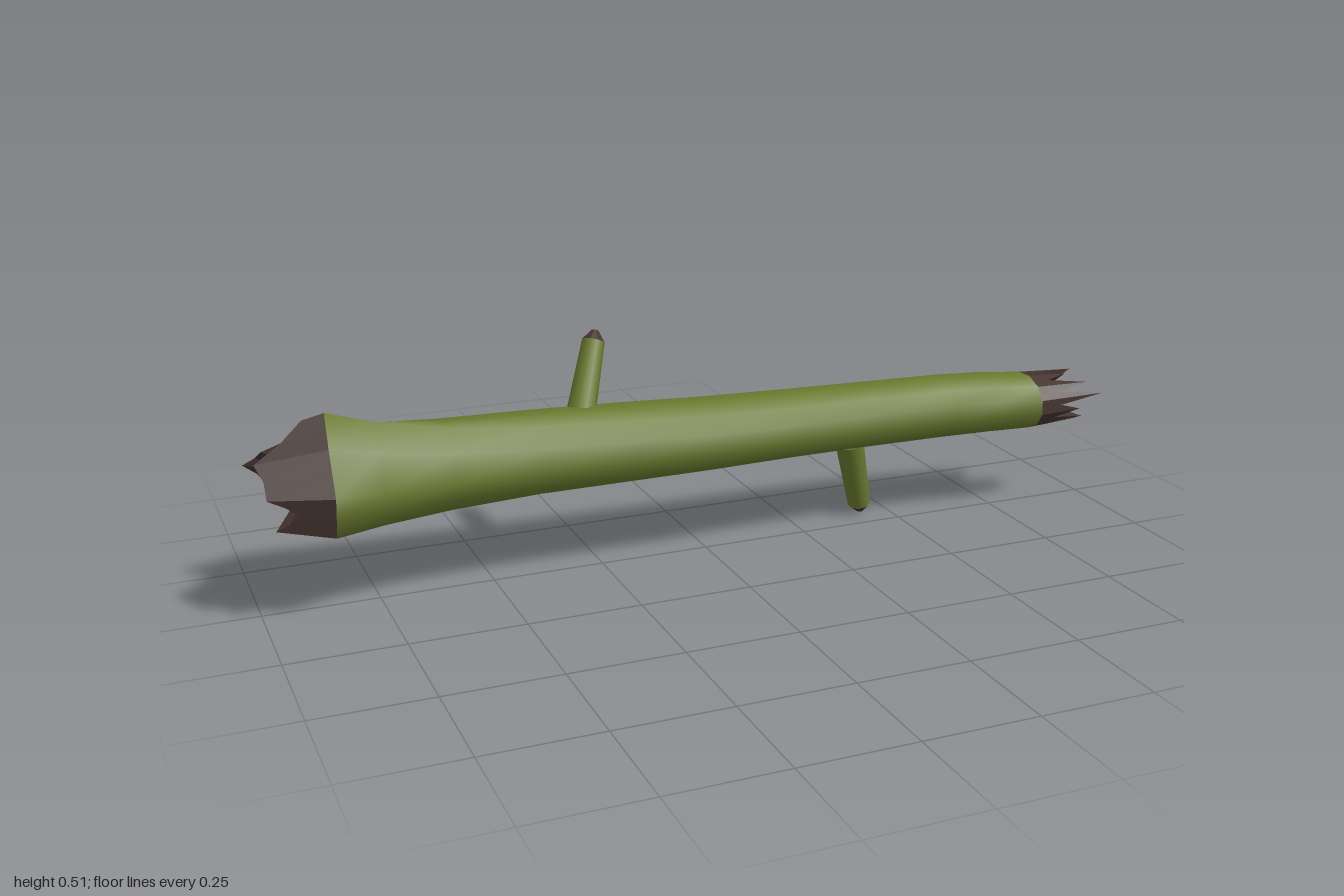
import * as THREE from 'three';

const SIDES = 12;

// Skin a list of closed rings that run towards +x.
function loft(rings) {
  const n = rings[0].length;
  const index = [];
  for (let i = 0; i < rings.length - 1; i++) {
    for (let j = 0; j < n; j++) {
      const k = (j + 1) % n;
      const a = i * n + j, b = a + n, c = (i + 1) * n + k, d = i * n + k;
      index.push(a, b, c, a, c, d);
    }
  }
  const geometry = new THREE.BufferGeometry().setFromPoints(rings.flat());
  geometry.setIndex(index);
  geometry.computeVertexNormals();
  return geometry;
}

// Angular outline of the thick end as [z, y]
const buttOutline = [
  [0.15, 0.29], [0.105, 0.38], [0.08, 0.45], [0.03, 0.415], [-0.03, 0.385], [-0.085, 0.345],
  [-0.15, 0.297], [-0.115, 0.245], [-0.055, 0.205], [0.02, 0.197], [0.13, 0.2], [0.142, 0.25],
];

// Stations along the trunk: x, zMin, zMax, yMin, yMax, share of the angular outline
const stations = [
  [-0.855, -0.15, 0.15, 0.197, 0.45, 1],
  [-0.75, -0.142, 0.13, 0.197, 0.423, 0.75],
  [-0.6, -0.13, 0.112, 0.197, 0.396, 0.45],
  [-0.4, -0.12, 0.1, 0.197, 0.378, 0.2],
  [-0.2, -0.112, 0.099, 0.196, 0.367, 0.1],
  [0, -0.106, 0.098, 0.196, 0.356, 0.05],
  [0.2, -0.102, 0.086, 0.196, 0.347, 0],
  [0.4, -0.1, 0.076, 0.195, 0.341, 0],
  [0.6, -0.092, 0.078, 0.195, 0.338, 0],
  [0.72, -0.08, 0.09, 0.197, 0.335, 0],
  [0.82, -0.064, 0.104, 0.199, 0.328, 0],
];

function trunkRing([x, z0, z1, y0, y1, angular]) {
  return buttOutline.map(([z, y], j) => {
    const a = THREE.MathUtils.degToRad(-13 + j * 360 / SIDES);
    const u = THREE.MathUtils.lerp(Math.cos(a) * 1.02, z / 0.15, angular);
    const v = THREE.MathUtils.lerp(Math.sin(a) * 1.02, (y - 0.3235) / 0.1265, angular);
    return new THREE.Vector3(x, (y0 + y1) / 2 + v * (y1 - y0) / 2, (z0 + z1) / 2 + u * (z1 - z0) / 2);
  });
}

// Broken end: base ring, ragged tips, then a sunken centre.
function splinters(ring, dir, lengths, notch, taper, pitDepth) {
  const centre = new THREE.Vector3();
  ring.forEach(p => centre.addScaledVector(p, 1 / ring.length));
  const base = [], tips = [], pit = [];
  ring.forEach((p, j) => {
    const k = (j + 1) % ring.length;
    const mid = p.clone().lerp(ring[k], 0.5);
    const pair = [[p, lengths[j]], [mid, (lengths[j] + lengths[k]) / 2 * notch]];
    for (const [point, length] of pair) {
      const tip = point.clone().lerp(centre, taper * length / 0.15);
      tip.x += dir * length;
      base.push(point);
      tips.push(tip);
      pit.push(new THREE.Vector3(centre.x + dir * pitDepth, centre.y, centre.z));
    }
  });
  return loft(dir > 0 ? [base, tips, pit] : [pit, tips, base]);
}

export function createModel() {
  const bark = new THREE.MeshStandardMaterial({ color: 0x6b7a30 });
  bark.name = 'mossy bark';
  const wood = new THREE.MeshStandardMaterial({ color: 0x44342f });
  wood.name = 'dark broken wood';
  wood.flatShading = true;

  const model = new THREE.Group();
  model.name = 'fallenLog';
  const add = (parent, name, geometry, material) => {
    const mesh = new THREE.Mesh(geometry, material);
    mesh.name = name;
    parent.add(mesh);
    return mesh;
  };

  // Trunk
  const rings = stations.map(trunkRing);
  add(model, 'trunk', loft(rings), bark);

  // Broken ends
  add(model, 'thickBrokenEnd', splinters(rings[0], -1,
    [0.13, 0.145, 0.045, 0.03, 0.03, 0.11, 0.145, 0.1, 0.03, 0.03, 0.115, 0.07], 0.95, 0.28, 0.02), wood);
  add(model, 'thinBrokenEnd', splinters(rings[rings.length - 1], 1,
    [0.11, 0.175, 0.14, 0.1, 0.14, 0.08, 0.08, 0.13, 0.07, 0.14, 0.14, 0.13], 0.35, 0.12, 0.02), wood);

  // Branch stubs, each with a snapped tip
  function stub(name, from, to, rBase, rTip) {
    const start = new THREE.Vector3(...from);
    const axis = new THREE.Vector3(...to).sub(start);
    const length = axis.length();
    const group = new THREE.Group();
    group.name = name;
    group.position.copy(start);
    group.quaternion.setFromUnitVectors(new THREE.Vector3(0, 1, 0), axis.normalize());
    const tipLength = 0.024;
    const shaft = length - tipLength;
    add(group, name + 'Shaft', new THREE.CylinderGeometry(rTip, rBase, shaft, 10, 1, true)
      .translate(0, shaft / 2, 0), bark);
    add(group, name + 'Base', new THREE.CircleGeometry(rBase, 10).rotateX(Math.PI / 2), bark);
    add(group, name + 'Tip', new THREE.CylinderGeometry(rTip * 0.3, rTip, tipLength, 10)
      .translate(0, shaft + tipLength / 2, 0), wood);
    model.add(group);
  }
  stub('upperBranch', [-0.285, 0.335, -0.03], [-0.222, 0.512, -0.1], 0.033, 0.025);
  stub('lowerBranch', [0.377, 0.2, -0.027], [0.435, 0.004, -0.073], 0.034, 0.027);

  return model;
}
